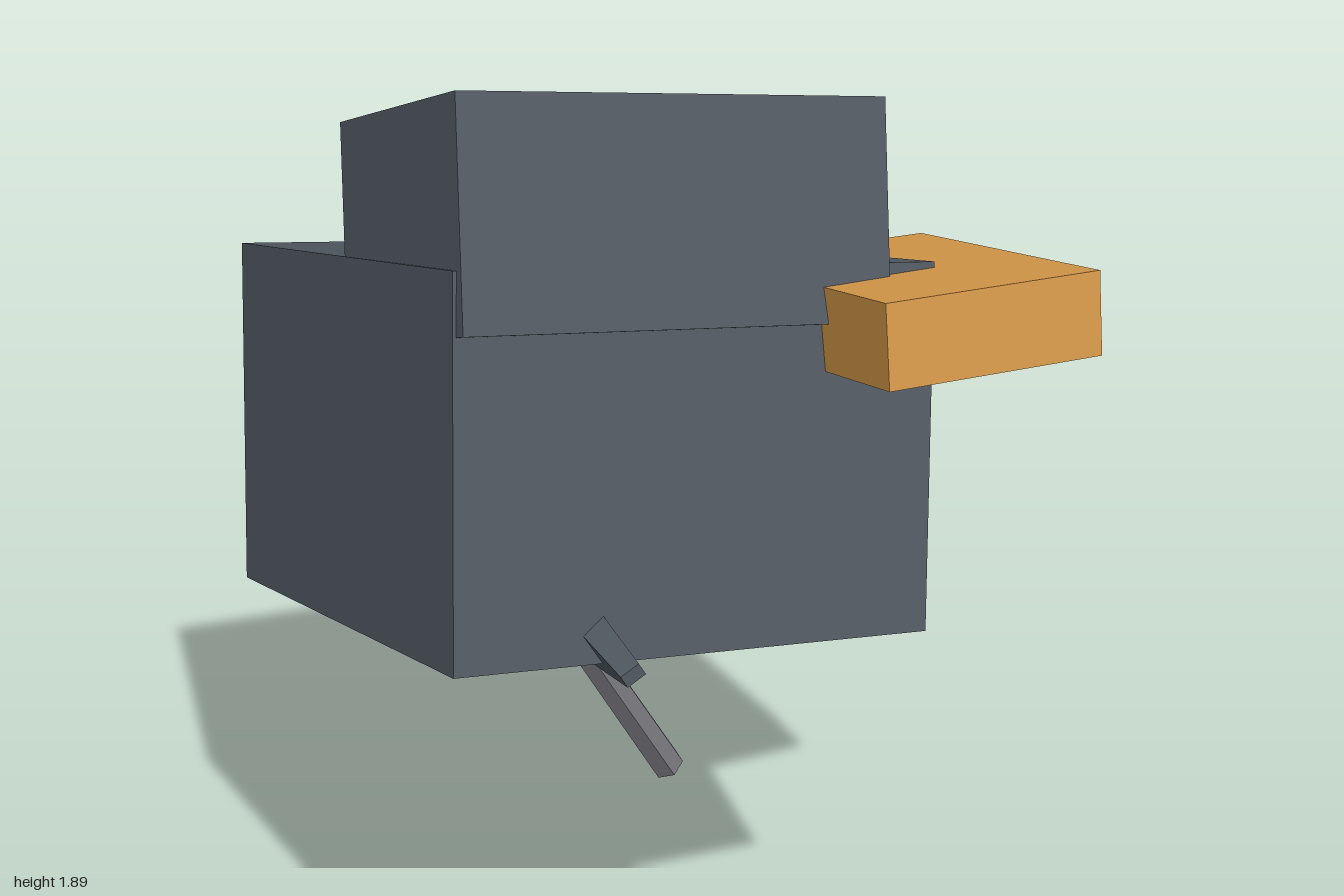
import * as THREE from 'three';

const flat = (name, color) => {
  const m = new THREE.MeshStandardMaterial({ color, flatShading: true });
  m.name = name;
  return m;
};

// Tilted box from its top front left corner and its three edges
function tiltedBox(name, material, corner, right, down, back) {
  const [o, r, d, b] = [corner, right, down, back].map((a) => new THREE.Vector3(...a));
  const centre = o.clone().addScaledVector(r, 0.5).addScaledVector(d, 0.5).addScaledVector(b, 0.5);
  const matrix = new THREE.Matrix4().makeBasis(r, d.clone().negate(), b.clone().negate()).setPosition(centre);
  const mesh = new THREE.Mesh(new THREE.BoxGeometry(1, 1, 1).applyMatrix4(matrix), material);
  mesh.name = name;
  return mesh;
}

// Rod between two points
function rod(name, material, from, to, rFrom, rTo, sides) {
  const a = new THREE.Vector3(...from), b = new THREE.Vector3(...to);
  const axis = a.clone().sub(b);
  const mesh = new THREE.Mesh(new THREE.CylinderGeometry(rFrom, rTo, axis.length(), sides), material);
  mesh.quaternion.setFromUnitVectors(new THREE.Vector3(0, 1, 0), axis.normalize());
  mesh.position.copy(a.add(b).multiplyScalar(0.5));
  mesh.name = name;
  return mesh;
}

// Long slanted blade: rectangular sections [z, upper edge, lower edge, thickness]
function blade(name, material) {
  const sections = [
    [1.0, 0.005, 0.03, 0.037],
    [0.76, -0.026, 0.13, 0.055],
    [0.52, -0.03, 0.231, 0.07],
    [-0.52, 0.405, 0.666, 0.07],
    [-0.76, 0.506, 0.662, 0.055],
    [-1.0, 0.606, 0.631, 0.037],
  ];
  const positions = [], index = [];
  for (const [z, top, bottom, t] of sections) {
    for (const [s, k] of [[top, -t / 2], [bottom, -t / 2], [bottom, t / 2], [top, t / 2]]) {
      positions.push(-0.265 + s * 0.517 + k * 0.856, 1.0 - s * 0.856 + k * 0.517, z);
    }
  }
  for (let i = 0; i < sections.length - 1; i++) {
    for (let j = 0; j < 4; j++) {
      const a = i * 4 + j, b = i * 4 + ((j + 1) % 4);
      index.push(a, a + 4, b + 4, a, b + 4, b);
    }
  }
  const e = (sections.length - 1) * 4;
  index.push(0, 1, 2, 0, 2, 3, e, e + 2, e + 1, e, e + 3, e + 2);
  let g = new THREE.BufferGeometry();
  g.setAttribute('position', new THREE.Float32BufferAttribute(positions, 3));
  g.setIndex(index);
  g = g.toNonIndexed();
  g.computeVertexNormals();
  const mesh = new THREE.Mesh(g, material);
  mesh.name = name;
  return mesh;
}

export function createModel() {
  const slate = flat('slate', 0x525a62);
  const amber = flat('amber', 0xd6994a);
  const grey = flat('grey', 0x7e7e85);

  const model = new THREE.Group();
  model.name = 'model';
  model.add(
    // Large body and the smaller block on top
    tiltedBox('body', slate, [-0.47, 1.62, 0.745], [0.915, -0.115, -0.09], [-0.06, -0.64, 0.155], [-0.125, -0.225, -0.96]),
    tiltedBox('head', slate, [-0.435, 1.89, 0.665], [0.805, -0.1, -0.083], [-0.035, -0.365, 0.13], [-0.07, -0.155, -0.445]),
    // Bright block on the left side
    tiltedBox('sideBlock', amber, [0.222, 1.533, 0.9], [0.427, -0.003, -0.037], [0.003, -0.147, 0.024], [-0.045, -0.09, -0.55]),
    // Blade through the underside, and the leg below it
    blade('blade', slate),
    rod('leg', grey, [0, 0.58, -0.095], [0.342, 0.026, -0.262], 0.034, 0.039, 6),
  );
  return model;
}
